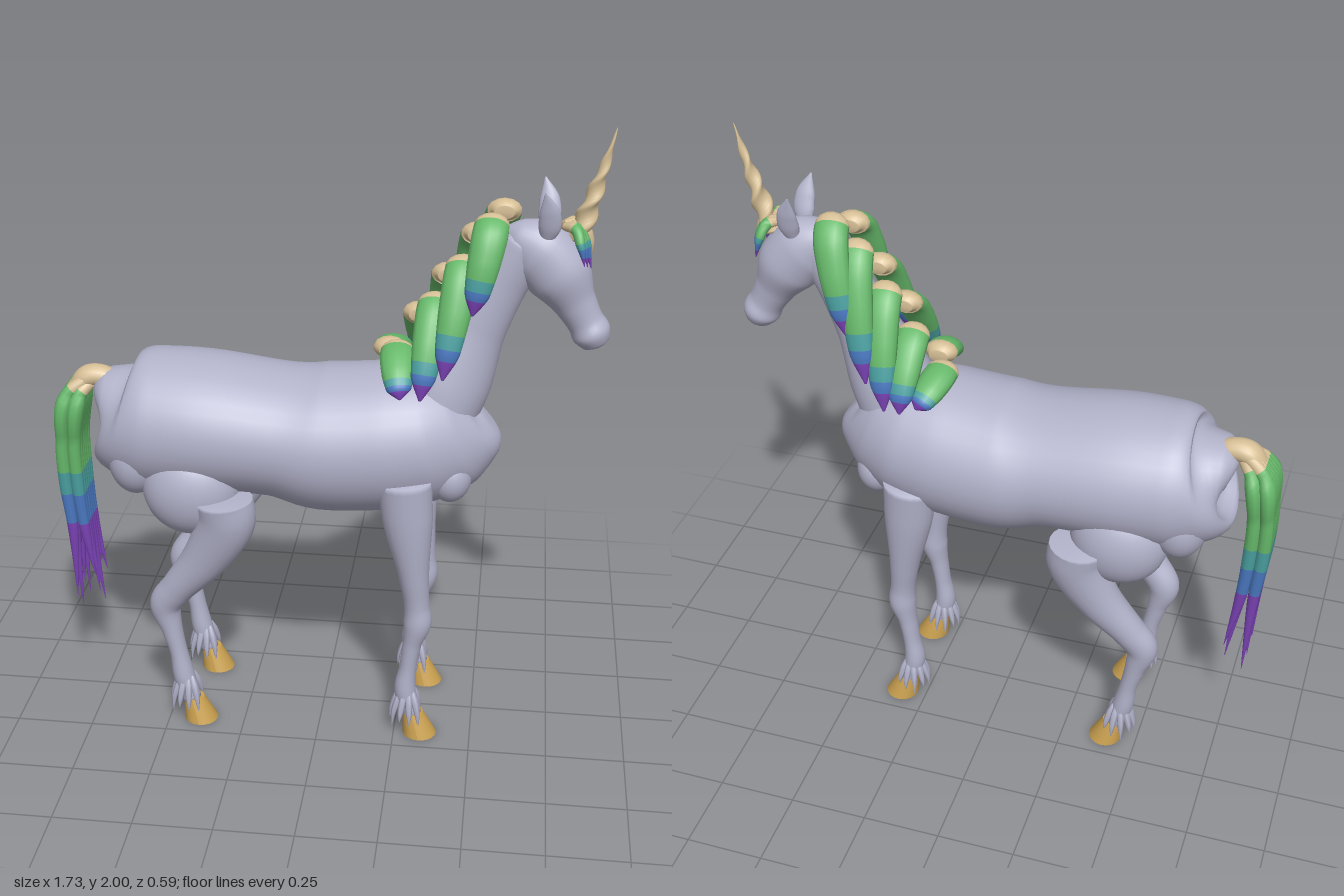
import * as THREE from 'three';

const mat = (name, color) => Object.assign(new THREE.MeshStandardMaterial({ color }), { name });
const coat = mat('coat', 0xb2b2ca);
const hoofGold = mat('hoof gold', 0xc9a050);
const cream = mat('cream', 0xd6bf96);
const green = mat('green', 0x66b86a);
const teal = mat('teal', 0x4a9fa0);
const blue = mat('blue', 0x4a78c0);
const purple = mat('purple', 0x7a42b4);
const hairColours = [cream, green, teal, blue, purple];

const Z = new THREE.Vector3(0, 0, 1);
const X = new THREE.Vector3(1, 0, 0);

// Smooth skin over elliptical sections [x, y, z, radius, radius along the ref axis].
// bands: end fraction of each colour along the length.
function loft(name, sections, material, { ref = Z, sides = 20, rings = 32, twist = 0, bands = [1] } = {}) {
  const path = new THREE.CatmullRomCurve3(sections.map(s => new THREE.Vector3(s[0], s[1], s[2])));
  const radii = new THREE.CatmullRomCurve3(sections.map(s => new THREE.Vector3(s[3], s[4], 0)));
  const pos = [], idx = [];
  for (let i = 0; i <= rings; i++) {
    const t = i / rings;
    const c = path.getPoint(t), T = path.getTangent(t), r = radii.getPoint(t);
    const B = ref.clone().addScaledVector(T, -ref.dot(T)).normalize();
    const N = B.clone().cross(T);
    for (let j = 0; j < sides; j++) {
      const a = (j / sides) * Math.PI * 2;
      const u = Math.cos(a) * Math.max(r.x, 0.001), v = Math.sin(a) * Math.max(r.y, 0.001);
      const k = twist * t, cu = u * Math.cos(k) - v * Math.sin(k), cv = u * Math.sin(k) + v * Math.cos(k);
      const p = c.clone().addScaledVector(N, cu).addScaledVector(B, cv);
      pos.push(p.x, p.y, p.z);
    }
  }
  const first = pos.length / 3, last = first + 1, end = rings * sides;
  pos.push(...path.getPoint(0).toArray(), ...path.getPoint(1).toArray());
  const geo = new THREE.BufferGeometry();
  let band = 0, start = 0;
  for (let j = 0; j < sides; j++) idx.push(first, (j + 1) % sides, j);
  for (let i = 0; i < rings; i++) {
    if ((i + 0.5) / rings > bands[band] && band < bands.length - 1) {
      geo.addGroup(start, idx.length - start, band++);
      start = idx.length;
    }
    for (let j = 0; j < sides; j++) {
      const k = (j + 1) % sides, a = i * sides + j, b = i * sides + k;
      idx.push(a, b, b + sides, a, b + sides, a + sides);
    }
  }
  for (let j = 0; j < sides; j++) idx.push(last, end + j, end + (j + 1) % sides);
  geo.addGroup(start, idx.length - start, band);
  geo.setAttribute('position', new THREE.Float32BufferAttribute(pos, 3));
  geo.setIndex(idx);
  geo.computeVertexNormals();
  const mesh = new THREE.Mesh(geo, material);
  mesh.name = name;
  return mesh;
}

function ball(name, [x, y, z], [rx, ry, rz]) {
  const mesh = new THREE.Mesh(new THREE.SphereGeometry(1, 28, 20), coat);
  mesh.name = name;
  mesh.position.set(x, y, z);
  mesh.scale.set(rx, ry, rz);
  return mesh;
}

// Hoof with a forward-sloping toe, and the feather hair around the fetlock
function foot(name, x, z) {
  const g = new THREE.Group();
  g.name = name;
  const geo = new THREE.CylinderGeometry(0.034, 0.055, 0.08, 20, 3);
  const p = geo.attributes.position;
  for (let i = 0; i < p.count; i++) p.setX(i, p.getX(i) - (p.getY(i) + 0.04) * 0.3);
  geo.computeVertexNormals();
  const hoof = new THREE.Mesh(geo, hoofGold);
  hoof.name = 'hoof';
  hoof.position.set(x + 0.05, 0.04, z);
  g.add(hoof);
  for (let i = 0; i < 9; i++) {
    const a = Math.PI * (0.25 + 1.5 * i / 8), dx = Math.cos(a), dz = Math.sin(a);
    const at = (r, y, w) => [x + 0.008 + dx * r, y, z + dz * r, w, w];
    g.add(loft('featherHair', [at(0.022, 0.165, 0.006), at(0.036, 0.13, 0.012),
      at(0.05, 0.09, 0.009), at(0.056, 0.04 + 0.012 * (i % 3), 0.001)], coat, { sides: 6, rings: 8 }));
  }
  return g;
}

export function createModel() {
  const model = new THREE.Group();
  model.name = 'unicorn';

  // Trunk: x, top, bottom, half width
  const trunk = [
    [-0.708, 1.1, 1.0, 0.04], [-0.692, 1.18, 0.93, 0.13], [-0.64, 1.23, 0.84, 0.2], [-0.55, 1.25, 0.8, 0.235],
    [-0.38, 1.245, 0.8, 0.25], [-0.15, 1.215, 0.795, 0.245], [0, 1.22, 0.755, 0.255], [0.2, 1.235, 0.765, 0.245],
    [0.33, 1.24, 0.8, 0.22], [0.43, 1.23, 0.86, 0.165], [0.49, 1.19, 0.95, 0.1], [0.508, 1.13, 1.04, 0.03],
  ].map(([x, t, b, w]) => [x, (t + b) / 2, 0, (t - b) / 2, w]);
  model.add(loft('trunk', trunk, coat, { sides: 36, rings: 66 }));

  // Neck and head
  model.add(loft('neck', [
    [0.33, 1.05, 0, 0.13, 0.15], [0.385, 1.2, 0, 0.135, 0.125], [0.46, 1.38, 0, 0.1, 0.083],
    [0.535, 1.53, 0, 0.085, 0.07], [0.6, 1.64, 0, 0.08, 0.068], [0.62, 1.68, 0, 0.045, 0.045],
  ], coat, { sides: 28, rings: 40 }));
  model.add(loft('head', [
    [0.54, 1.685, 0, 0.015, 0.015], [0.57, 1.67, 0, 0.055, 0.055], [0.64, 1.625, 0, 0.1, 0.083],
    [0.7, 1.56, 0, 0.1, 0.088], [0.755, 1.47, 0, 0.066, 0.062], [0.79, 1.41, 0, 0.056, 0.056],
    [0.81, 1.375, 0, 0.06, 0.065], [0.826, 1.34, 0, 0.043, 0.047], [0.832, 1.325, 0, 0.01, 0.01],
  ], coat, { sides: 28, rings: 48 }));
  model.add(loft('horn', [
    [0.755, 1.66, 0, 0.034, 0.028], [0.775, 1.74, 0, 0.034, 0.023], [0.797, 1.82, 0, 0.026, 0.017],
    [0.82, 1.9, 0, 0.015, 0.01], [0.845, 2, 0, 0.001, 0.001],
  ], cream, { sides: 16, rings: 56, twist: Math.PI * 4 }));

  for (const s of [1, -1]) {
    const side = s > 0 ? 'left' : 'right';
    model.add(loft(side + 'Ear', [
      [0.66, 1.67, s * 0.045, 0.018, 0.015], [0.668, 1.72, s * 0.06, 0.034, 0.019],
      [0.665, 1.765, s * 0.073, 0.03, 0.015], [0.65, 1.825, s * 0.09, 0.002, 0.002],
    ], coat, { sides: 16, rings: 20 }));
    model.add(ball(side + 'Breast', [0.405, 0.915, s * 0.095], [0.068, 0.085, 0.08]));
    model.add(ball(side + 'Haunch', [-0.405, 0.85, s * 0.145], [0.155, 0.155, 0.115]));
    model.add(ball(side + 'Buttock', [-0.585, 0.93, s * 0.11], [0.09, 0.12, 0.1]));

    // Legs
    model.add(loft(side + 'FrontLeg', [
      [0.27, 0.93, s * 0.18, 0.085, 0.065], [0.28, 0.8, s * 0.172, 0.08, 0.067], [0.303, 0.6, s * 0.165, 0.05, 0.054],
      [0.316, 0.48, s * 0.16, 0.041, 0.045], [0.32, 0.42, s * 0.16, 0.045, 0.048], [0.305, 0.34, s * 0.16, 0.031, 0.038],
      [0.293, 0.25, s * 0.16, 0.028, 0.034], [0.285, 0.16, s * 0.16, 0.035, 0.038], [0.31, 0.07, s * 0.16, 0.03, 0.03],
    ], coat, { rings: 56 }));
    model.add(loft(side + 'HindLeg', [
      [-0.29, 0.845, s * 0.208, 0.09, 0.085], [-0.285, 0.775, s * 0.206, 0.093, 0.08], [-0.355, 0.63, s * 0.19, 0.075, 0.065],
      [-0.455, 0.5, s * 0.17, 0.055, 0.053], [-0.5, 0.43, s * 0.16, 0.053, 0.048], [-0.485, 0.34, s * 0.16, 0.035, 0.038],
      [-0.465, 0.25, s * 0.16, 0.029, 0.034], [-0.45, 0.16, s * 0.16, 0.035, 0.038], [-0.425, 0.07, s * 0.16, 0.03, 0.03],
    ], coat, { rings: 56 }));
    model.add(foot(side + 'FrontFoot', 0.285, s * 0.16));
    model.add(foot(side + 'HindFoot', -0.445, s * 0.16));

    // Mane locks draped over each side: crest x, y, then tip x, y, z
    const locks = s > 0
      ? [[0.23, 1.3, 0.25, 1.2, 0.185], [0.34, 1.46, 0.31, 1.2, 0.188], [0.42, 1.58, 0.375, 1.265, 0.175], [0.5, 1.71, 0.455, 1.46, 0.14]]
      : [[0.2, 1.28, 0.24, 1.22, 0.18], [0.29, 1.4, 0.29, 1.2, 0.19], [0.375, 1.53, 0.34, 1.2, 0.188],
        [0.46, 1.66, 0.4, 1.28, 0.175], [0.535, 1.735, 0.46, 1.42, 0.15]];
    for (const [x, y, tx, ty, tz] of locks) {
      const mix = (k, z, w, h) => [x + (tx - x) * k, y + (ty - y) * k, s * z, h, w];
      model.add(loft(side + 'ManeLock', [
        mix(0, 0.005, 0.03, 0.02), mix(0, 0.035, 0.052, 0.036), mix(0.1, 0.075, 0.054, 0.036),
        mix(0.4, 0.06 + tz * 0.36, 0.05, 0.034), mix(0.75, 0.02 + tz * 0.8, 0.038, 0.024), mix(1, tz, 0.004, 0.004),
      ], hairColours, { ref: X, sides: 14, rings: 40, bands: [0.24, 0.7, 0.77, 0.85, 1] }));
    }

    // Forelock tufts
    for (let i = 0; i < 3; i++) {
      const z = 0.035 + i * 0.019;
      model.add(loft(side + 'ForelockTuft', [
        [0.71, 1.705, s * 0.01, 0.012, 0.012], [0.745, 1.705, s * z * 0.6, 0.017, 0.018],
        [0.775 - i * 0.008, 1.67, s * z, 0.014, 0.016], [0.795 - i * 0.01, 1.59 + i * 0.008, s * (z + 0.008), 0.001, 0.001],
      ], hairColours, { sides: 10, rings: 24, bands: [0.3, 0.68, 0.77, 0.86, 1] }));
    }
  }
  model.add(loft('centreForelock', [
    [0.73, 1.71, 0, 0.012, 0.015], [0.77, 1.7, 0, 0.016, 0.025], [0.79, 1.66, 0, 0.012, 0.02], [0.795, 1.61, 0, 0.001, 0.002],
  ], cream, { sides: 10, rings: 16 }));

  // Tail: dock and hanging strands
  model.add(loft('tailDock', [
    [-0.66, 1.13, 0, 0.03, 0.035], [-0.71, 1.155, 0, 0.035, 0.038], [-0.76, 1.15, 0, 0.036, 0.042], [-0.8, 1.1, 0, 0.03, 0.04],
  ], cream));
  for (let i = 0; i < 12; i++) {
    const z = (i % 6 - 2.5) / 2.5, d = i < 6 ? -0.018 : 0.022;
    const tip = 0.33 + 0.045 * ((i * 5) % 4), w = 0.022;
    model.add(loft('tailStrand', [
      [-0.745, 1.15 - d * 0.5, z * 0.02, 0.018, 0.014], [-0.8 + d, 1.1, z * 0.045, w, w],
      [-0.823 + d, 0.95, z * 0.057, w, w], [-0.822 + d, 0.8, z * 0.057, w, w * 0.85],
      [-0.808 + d, 0.63, z * 0.055, 0.018, 0.015], [-0.785 + d * 1.6 - 0.01 * (i % 2), tip, z * 0.058, 0.001, 0.001],
    ], hairColours, { sides: 10, rings: 40, bands: [0.14, 0.56, 0.66, 0.77, 1] }));
  }
  return model;
}
